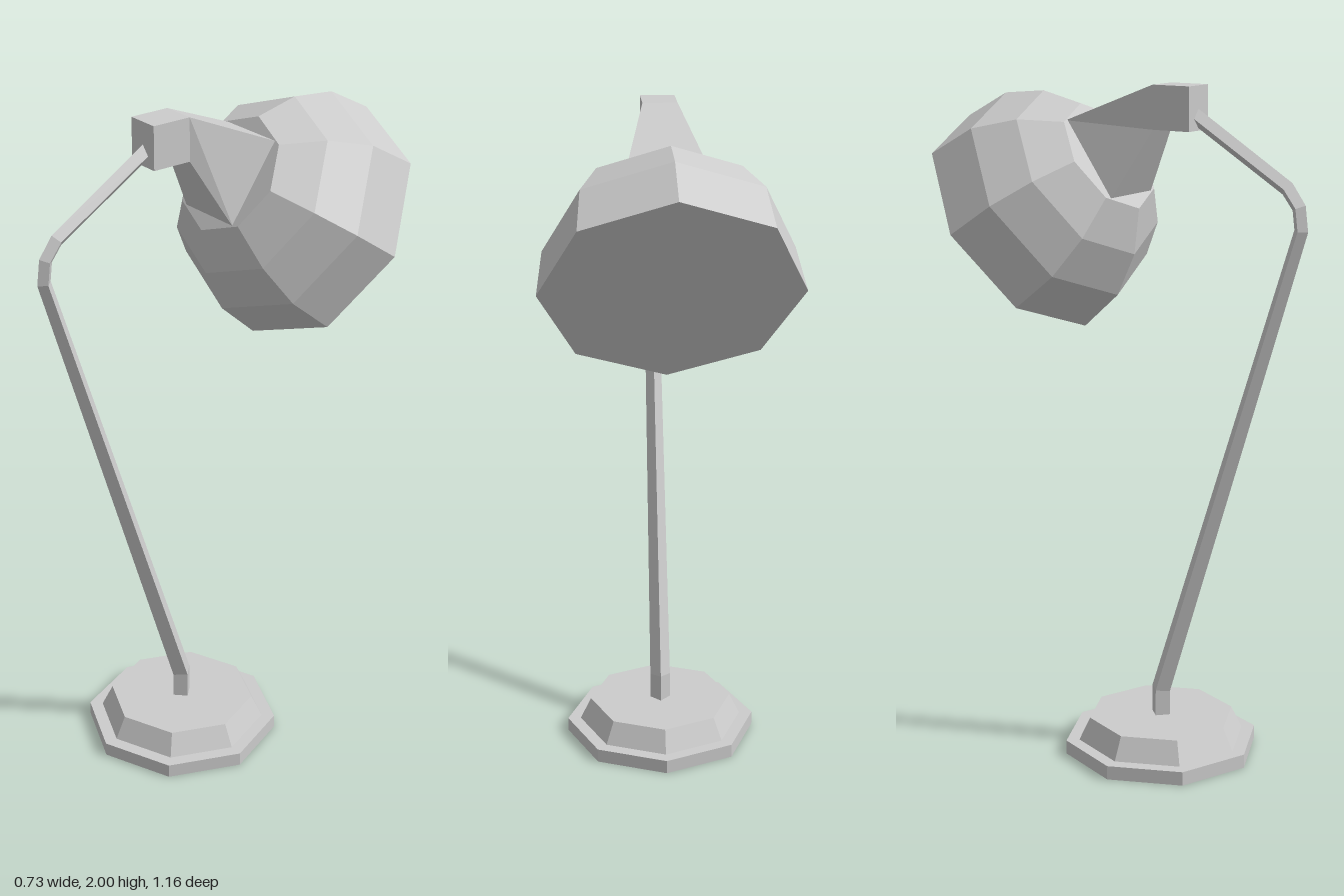
import * as THREE from 'three';

const material = new THREE.MeshStandardMaterial({ color: 0xcccccc, flatShading: true });

function part(name, geometry) {
  const mesh = new THREE.Mesh(geometry, material);
  mesh.name = name;
  return mesh;
}

// Eight-sided turned solid from [radius, height] pairs, bottom to top
function turned(name, profile) {
  return part(name, new THREE.LatheGeometry(profile.map(([r, h]) => new THREE.Vector2(r, h)), 8));
}

// Closed solid through rings of [x, y, z], counter-clockwise seen from the last ring
function loft(name, rings) {
  const n = rings[0].length;
  const index = [];
  for (let i = 0; i < rings.length - 1; i++) {
    for (let k = 0; k < n; k++) {
      const a = i * n + k, b = i * n + (k + 1) % n;
      index.push(a, b, b + n, a, b + n, a + n);
    }
  }
  const last = (rings.length - 1) * n;
  for (let k = 1; k < n - 1; k++) {
    index.push(0, k + 1, k, last, last + k, last + k + 1);
  }
  const geometry = new THREE.BufferGeometry();
  geometry.setAttribute('position', new THREE.Float32BufferAttribute(rings.flat(2), 3));
  geometry.setIndex(index);
  geometry.computeVertexNormals();
  return part(name, geometry);
}

// Diamond-section rod along a path of [y, z, radius], mitred at the bends
function rod(name, path) {
  const direction = (i) => new THREE.Vector2(
    path[i + 1][0] - path[i][0], path[i + 1][1] - path[i][1]).normalize();
  return loft(name, path.map(([y, z, r], i) => {
    const before = direction(Math.max(i - 1, 0));
    const after = direction(Math.min(i, path.length - 2));
    const t = before.clone().add(after).normalize();
    const m = r / t.dot(after);
    const ny = -t.y * m, nz = t.x * m;
    return [[0, y + ny, z + nz], [r, y, z], [0, y - ny, z - nz], [-r, y, z]];
  }));
}

export function createModel() {
  const lamp = new THREE.Group();
  lamp.name = 'deskLamp';

  // Stepped base
  const base = turned('base', [[0, 0], [0.293, 0], [0.293, 0.042], [0.253, 0.042], [0.22, 0.11], [0, 0.11]]);
  base.position.z = 0.115;
  lamp.add(base);

  // Bent stem, thinner towards the top
  lamp.add(rod('stem', [
    [0.1, 0.115, 0.031], [0.19, 0.115, 0.031],
    [1.62, 0.562, 0.021], [1.683, 0.554, 0.021], [1.733, 0.517, 0.022],
    [1.927, 0.2, 0.023],
  ]));

  // Shade with a closed mouth, tilted down and to the back
  const centre = { y: 1.578, z: -0.368 };
  const axis = { y: 0.573, z: 0.82 };
  const shade = turned('shade', [[0, 0], [0.366, 0], [0.347, 0.155], [0.278, 0.275], [0.177, 0.365], [0, 0.365]]);
  shade.position.set(0, centre.y, centre.z);
  shade.rotation.x = Math.atan2(axis.z, axis.y);
  lamp.add(shade);

  // Socket: a block that flares out to meet the top of the shade
  const section = (w, bottom, top) => [
    [-w, ...bottom], [-w, ...top], [w, ...top], [w, ...bottom],
  ];
  const onShade = (across) => [
    centre.y + axis.y * 0.36 + axis.z * across,
    centre.z + axis.z * 0.36 - axis.y * across,
  ];
  lamp.add(loft('socket', [
    section(0.05, [1.875, 0.23], [2, 0.23]),
    section(0.05, [1.875, 0.11], [2, 0.11]),
    section(0.105, onShade(-0.132), onShade(0.132)),
  ]));

  return lamp;
}
